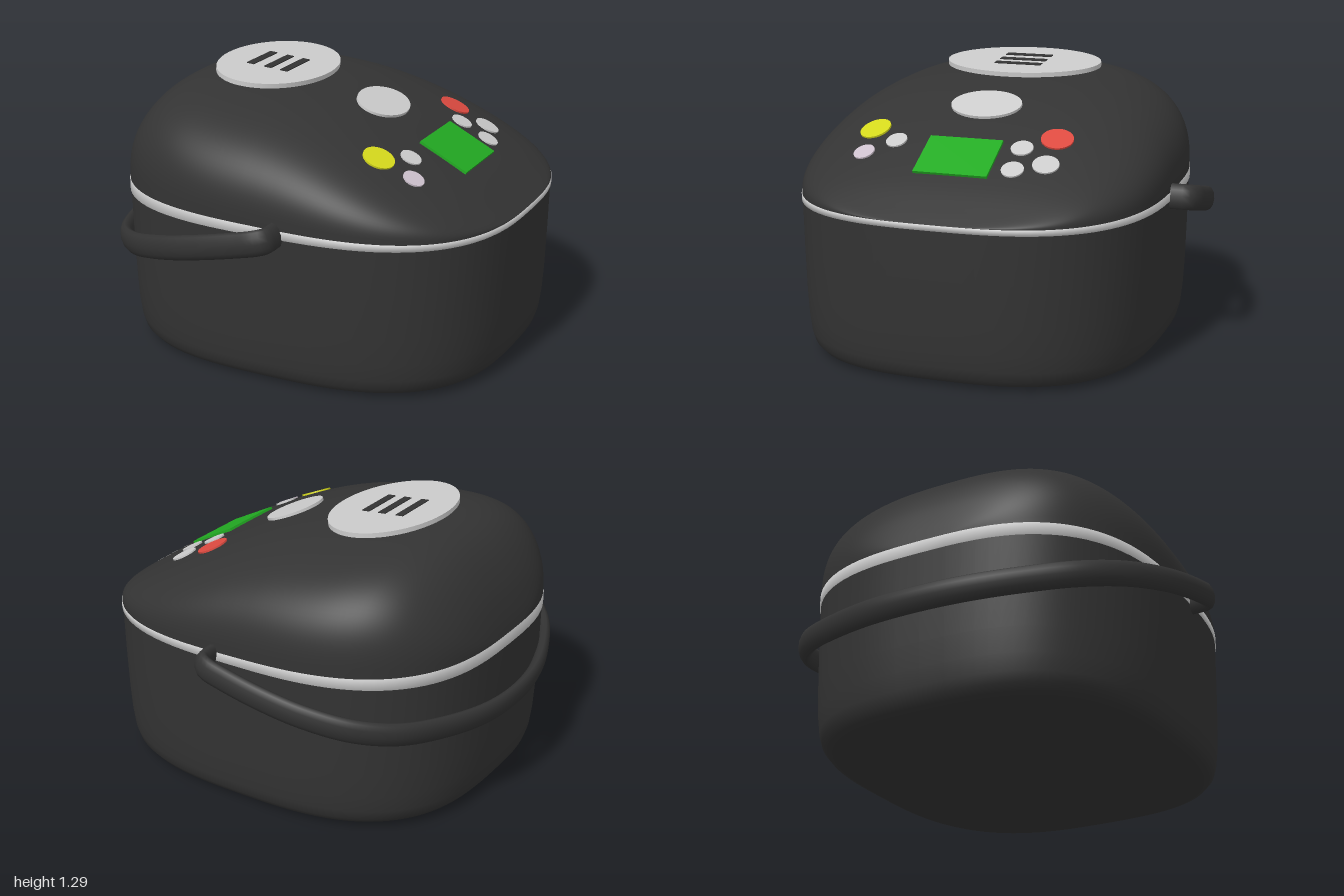
import * as THREE from 'three';
import { mergeVertices } from 'three/addons/utils/BufferGeometryUtils.js';

const CX = 0.04, RX = 0.957, RZ = 0.857, PLAN = 2.85, ARCH = 2.7;
const mat = (color) => new THREE.MeshStandardMaterial({ color });
const DARK = mat(0x333333), GREY = mat(0xcccccc);
const spow = (v, e) => Math.sign(v) * Math.pow(Math.abs(v), e);

function add(parent, name, geometry, material) {
  const mesh = new THREE.Mesh(geometry, material);
  mesh.name = name;
  parent.add(mesh);
  return mesh;
}

// Smooth surface over a grid of points fn(i, j)
function surface(rows, cols, fn) {
  const pos = [], idx = [];
  for (let i = 0; i <= rows; i++) for (let j = 0; j <= cols; j++) pos.push(...fn(i, j));
  for (let i = 0; i < rows; i++) for (let j = 0; j < cols; j++) {
    const a = i * (cols + 1) + j, b = a + cols + 1;
    idx.push(a, b, a + 1, b, b + 1, a + 1);
  }
  const g = new THREE.BufferGeometry();
  g.setAttribute('position', new THREE.Float32BufferAttribute(pos, 3));
  g.setIndex(idx);
  const merged = mergeVertices(g);
  merged.computeVertexNormals();
  return merged;
}

// Rounded-square rings stacked upward: each ring is [scale, height or height(x)]
function stack(rings, cols = 96) {
  return surface(rings.length - 1, cols, (i, j) => {
    const a = (j % cols) / cols * Math.PI * 2, [s, h] = rings[i];
    const x = CX + RX * s * spow(Math.cos(a), 2 / PLAN);
    const z = RZ * s * spow(Math.sin(a), 2 / PLAN);
    return [x, typeof h === 'function' ? h(x) : h, z];
  });
}

// Seam heights and lid ridge line
const seamTop = (x) => 0.79 - 0.021 * (x + 0.917);
const seamLow = (x) => 0.732 - 0.004 * (x + 0.917);
const ridge = new THREE.CatmullRomCurve3([
  [-0.917, 0.79], [-0.9, 0.87], [-0.855, 1.0], [-0.78, 1.125], [-0.7, 1.2], [-0.6, 1.243],
  [-0.48, 1.255], [-0.3, 1.245], [0, 1.21], [0.2, 1.157], [0.4, 1.08], [0.6, 0.985],
  [0.8, 0.878], [0.93, 0.795], [0.997, 0.75],
].map(([x, y]) => new THREE.Vector3(x, y, 0))).getPoints(400);

function ridgeY(x) {
  const k = ridge.findIndex((p) => p.x >= x);
  if (k < 0) return ridge[ridge.length - 1].y;
  if (k === 0) return ridge[0].y;
  const a = ridge[k - 1], b = ridge[k];
  return a.y + (b.y - a.y) * (x - a.x) / (b.x - a.x);
}

function lidY(x, z) {
  const half = RZ * Math.pow(1 - Math.pow(Math.abs((x - CX) / RX), PLAN), 1 / PLAN);
  const w = Math.pow(1 - Math.pow(Math.abs(z) / half, ARCH), 1 / ARCH);
  return seamTop(x) + (ridgeY(x) - seamTop(x)) * w;
}

// Lid: arched sections lofted from back to front
function lidGeometry(rows = 96, cols = 64) {
  return surface(rows, cols, (i, j) => {
    const t = Math.PI * i / rows, p = Math.PI * j / cols;
    const x = CX - RX * spow(Math.cos(t), 2 / PLAN);
    const half = RZ * Math.pow(Math.max(0, Math.sin(t)), 2 / PLAN);
    const rise = Math.pow(Math.max(0, Math.sin(p)), 2 / ARCH);
    const base = seamTop(x);
    return [x, base + Math.max(0, ridgeY(x) - base) * rise, half * spow(Math.cos(p), 2 / ARCH)];
  });
}

// Lay a thin part flat on the lid
function onLid(mesh, x, z, lift = 0) {
  const e = 0.02;
  const n = new THREE.Vector3(
    (lidY(x - e, z) - lidY(x + e, z)) / (2 * e), 1,
    (lidY(x, z - e) - lidY(x, z + e)) / (2 * e)).normalize();
  mesh.position.set(x, lidY(x, z), z).addScaledVector(n, lift);
  mesh.quaternion.setFromUnitVectors(new THREE.Vector3(0, 1, 0), n);
}

export function createModel() {
  const model = new THREE.Group();
  model.name = 'riceCooker';

  // Tub with rounded foot
  add(model, 'body', stack([
    [0, 0.003], [0.5, 0.003], [0.82, 0.004], [0.89, 0.01], [0.93, 0.025], [0.957, 0.055],
    [0.971, 0.1], [0.981, 0.18], [0.988, 0.3], [0.994, 0.5], [0.998, seamLow],
  ]), DARK);

  // Pale seam band, wider at the back
  add(model, 'seamBand', stack([
    [0.98, seamLow], [1.003, seamLow], [1.003, seamTop], [0.98, seamTop],
  ]), GREY);
  add(model, 'lid', lidGeometry(), DARK);

  // Carrying handle: oval tube in a tilted plane, swung behind the body
  const slope = Math.atan(0.243);
  const half = [[0.132, 0.82], [0.132, 0.89], [0.125, 0.935], [0.085, 0.957], [0, 0.962], [-0.2, 0.952],
    [-0.4, 0.915], [-0.6, 0.83], [-0.75, 0.69], [-0.86, 0.48], [-0.935, 0.24]];
  const path = [...half, [-0.957, 0], ...half.map(([x, z]) => [x, -z]).reverse()]
    .map(([x, z]) => new THREE.Vector3((x - 0.13) / Math.cos(slope), 0, z));
  const tube = new THREE.TubeGeometry(new THREE.CatmullRomCurve3(path), 160, 0.032, 12);
  tube.scale(1, 1.85, 1);
  tube.rotateZ(slope);
  tube.translate(0.13, 0.745, 0);
  add(model, 'handle', tube, DARK);

  // Steam vent plate with three slots
  const vent = new THREE.Group();
  vent.name = 'steamVent';
  vent.position.set(-0.3, 1.26, 0);
  vent.rotation.z = -0.083;
  model.add(vent);
  add(vent, 'ventPlate', new THREE.CylinderGeometry(1, 1, 0.022, 64).scale(0.268, 1, 0.387), GREY);
  for (const x of [-0.093, 0, 0.086]) {
    add(vent, 'ventSlot', new THREE.BoxGeometry(0.038, 0.01, 0.235), DARK).position.set(x, 0.01, 0.003);
  }

  // Oval open button and display
  const oval = new THREE.CylinderGeometry(1, 1, 0.016, 48).scale(0.12, 1, 0.17);
  onLid(add(model, 'openButton', oval, GREY), 0.253, 0, 0.002);
  const screen = new THREE.BoxGeometry(0.256, 0.016, 0.348);
  onLid(add(model, 'display', screen, mat(0x22aa22)), 0.63, 0, 0.002);

  // Round control buttons: x, z, radius, material
  const RED = mat(0xdd4a40), YELLOW = mat(0xd4d81c), LILAC = mat(0xccc0cc);
  const buttons = [
    [0.45, -0.405, 0.074, RED], [0.45, 0.475, 0.074, YELLOW],
    [0.62, -0.405, 0.06, GREY], [0.542, -0.27, 0.051, GREY], [0.677, -0.27, 0.051, GREY],
    [0.542, 0.332, 0.05, GREY], [0.614, 0.463, 0.05, LILAC],
  ];
  for (const [x, z, r, m] of buttons) {
    onLid(add(model, 'controlButton', new THREE.CylinderGeometry(r, r, 0.012, 32), m), x, z, 0.001);
  }
  return model;
}
